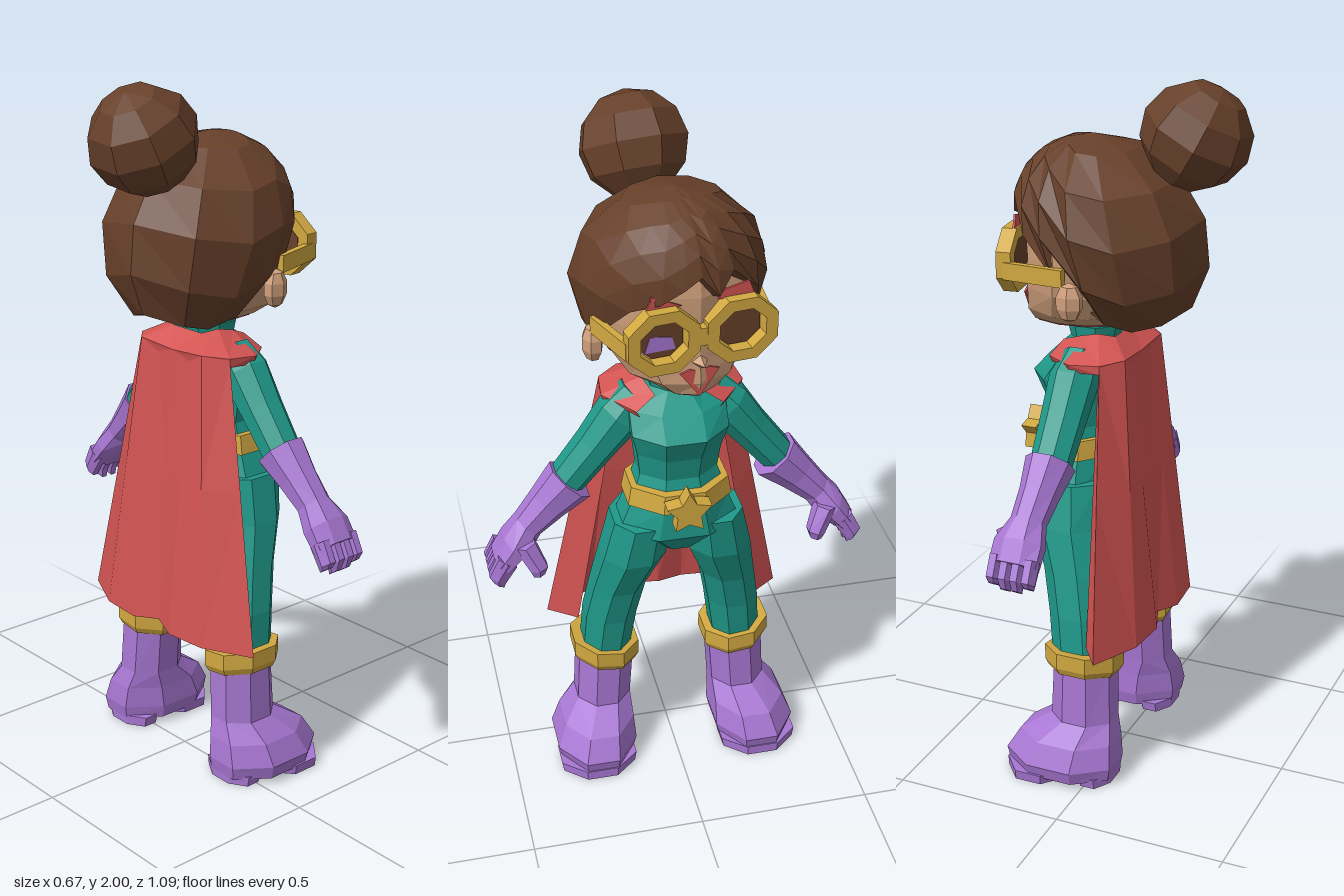
import * as THREE from 'three';

const mat = (name, color, side = THREE.FrontSide) => {
  const m = new THREE.MeshStandardMaterial({ color, side });
  m.name = name;
  return m;
};
const HAIR = mat('hair brown', 0x67402a);
const SKIN = mat('skin', 0xcf9f7b);
const RED = mat('cape red', 0xd25452, THREE.DoubleSide);
const TEAL = mat('suit teal', 0x1f998a);
const GOLD = mat('gold', 0xd2a941);
const PURPLE = mat('glove purple', 0xa877d3);

// Faceted mesh: every face keeps its own normal
function facet(name, geo, material) {
  const g = geo.index ? geo.toNonIndexed() : geo;
  g.computeVertexNormals();
  const m = new THREE.Mesh(g, material);
  m.name = name;
  return m;
}

function fromTriangles(name, tris, material) {
  const g = new THREE.BufferGeometry();
  g.setAttribute('position', new THREE.Float32BufferAttribute(tris.flat(), 3));
  return facet(name, g, material);
}

// Closed loft through sections [x, y, zBack, zFront, halfWidth], listed upward.
// tilt leans the sections in the xy plane.
function loft(name, sections, material, n = 8, tilt = 0) {
  const k = 1 / Math.cos(Math.PI / n);
  const rings = sections.map(([x, y, z0, z1, w]) =>
    Array.from({ length: n }, (_, j) => {
      const t = ((j + 0.5) / n) * Math.PI * 2;
      const u = Math.cos(t) * w * k;
      return [x + u * Math.cos(tilt), y + u * Math.sin(tilt), (z0 + z1) / 2 + (Math.sin(t) * k * (z1 - z0)) / 2];
    }));
  const mid = ([x, y, z0, z1]) => [x, y, (z0 + z1) / 2];
  const bottom = mid(sections[0]), top = mid(sections[sections.length - 1]);
  const tris = [];
  for (let j = 0; j < n; j++) {
    const q = (j + 1) % n;
    for (let i = 0; i + 1 < rings.length; i++) {
      const a = rings[i][j], b = rings[i][q], c = rings[i + 1][j], d = rings[i + 1][q];
      tris.push(...a, ...c, ...b, ...b, ...c, ...d);
    }
    const last = rings[rings.length - 1];
    tris.push(...bottom, ...rings[0][j], ...rings[0][q], ...top, ...last[q], ...last[j]);
  }
  return fromTriangles(name, tris, material);
}

// Open sheet through rows of points
function sheet(name, rows, material) {
  const tris = [];
  for (let i = 0; i + 1 < rows.length; i++)
    for (let j = 0; j + 1 < rows[i].length; j++) {
      const a = rows[i][j], b = rows[i][j + 1], c = rows[i + 1][j], d = rows[i + 1][j + 1];
      tris.push(...a, ...c, ...b, ...b, ...c, ...d);
    }
  return fromTriangles(name, tris, material);
}

const ring = (n, rx, ry, turn = 0) => Array.from({ length: n }, (_, i) => {
  const t = ((i + turn) / n) * Math.PI * 2;
  return new THREE.Vector2(Math.cos(t) * rx, Math.sin(t) * ry);
});

function plate(name, points, depth, material, pos, hole) {
  const s = new THREE.Shape(points);
  if (hole) s.holes.push(new THREE.Path(hole));
  const m = facet(name, new THREE.ExtrudeGeometry(s, { depth, bevelEnabled: false }), material);
  m.position.set(...pos);
  return m;
}
const poly = (...p) => p.map(([x, y]) => new THREE.Vector2(x, y));

function box(name, size, pos, material) {
  const m = facet(name, new THREE.BoxGeometry(...size), material);
  m.position.set(...pos);
  return m;
}

// Hair shell: a sheared ellipsoid whose lower hem varies round the head
function hairShell() {
  const hem = [[-2, 1.69], [9, 1.63], [20, 1.69], [42, 1.6], [60, 1.5], [80, 1.36], [105, 1.33], [140, 1.35],
    [180, 1.38], [220, 1.35], [255, 1.33], [280, 1.36], [300, 1.5], [318, 1.59], [335, 1.62], [348, 1.66]];
  const steps = 5, tris = [];
  const cols = hem.map(([deg, y0]) => {
    const a = THREE.MathUtils.degToRad(deg), dy = y0 - 1.6;
    const start = Math.asin(dy / (dy < 0 ? 0.3 : 0.25));
    return Array.from({ length: steps + 1 }, (_, i) => {
      const e = start + ((Math.PI / 2 - start) * i) / steps;
      const y = 1.6 + Math.sin(e) * (e < 0 ? 0.3 : 0.25), r = Math.cos(e);
      return [Math.sin(a) * r * 0.265, y, 0.045 + 0.2 * (y - 1.6) + Math.cos(a) * r * 0.27];
    });
  });
  cols.forEach((c, j) => {
    const d = cols[(j + 1) % cols.length];
    for (let i = 0; i < steps; i++) tris.push(...c[i], ...d[i], ...c[i + 1], ...d[i], ...d[i + 1], ...c[i + 1]);
    tris.push(0, 1.5, 0, ...d[0], ...c[0]);
  });
  return fromTriangles('hair', tris, HAIR);
}

function makeHead() {
  const head = new THREE.Group();
  head.name = 'head';
  head.add(hairShell());
  const bun = facet('hairBun', new THREE.SphereGeometry(0.155, 8, 6), HAIR);
  bun.position.set(-0.01, 1.855, -0.185);
  bun.rotation.set(-0.5, 0.2, 0);
  bun.scale.y = 0.95;
  head.add(bun);
  head.add(loft('face', [[0, 1.33, 0, 0.275, 0.09], [0, 1.37, -0.04, 0.285, 0.155], [0, 1.44, -0.08, 0.28, 0.2],
    [0, 1.53, -0.1, 0.275, 0.22], [0, 1.62, -0.1, 0.28, 0.22], [0, 1.71, -0.06, 0.27, 0.17]], SKIN, 10));
  head.add(loft('jawUnderside', [[0, 1.322, 0.01, 0.265, 0.075], [0, 1.332, 0, 0.27, 0.088]], RED, 10));
  // Nose and mouth
  const nose = facet('nose', new THREE.ConeGeometry(0.025, 0.045, 4), SKIN);
  nose.rotation.x = Math.PI / 2;
  nose.position.set(0, 1.435, 0.3);
  head.add(nose);
  head.add(plate('mouth', poly([-0.055, 0.02], [0, -0.055], [0.055, 0.02], [0.025, 0.03], [0, 0.02], [-0.025, 0.03]),
    0.006, RED, [0, 1.385, 0.281]));
  // Eyes, brows, ears and goggles
  for (const s of [-1, 1]) {
    head.add(plate('eye', ring(8, 0.066, 0.058, 0.5), 0.005, HAIR, [s * 0.107, 1.52, 0.277]));
    head.add(plate('brow', poly([-0.05, -0.02], [0.05, -0.02], [s * 0.035, 0.02], [-0.035, 0.005]),
      0.006, RED, [s * 0.1, 1.625, 0.278]));
    const ear = facet('ear', new THREE.SphereGeometry(1, 6, 5), SKIN);
    ear.scale.set(0.03, 0.055, 0.04);
    ear.position.set(s * 0.232, 1.44, 0.1);
    head.add(ear);
    head.add(plate('goggleRim', ring(8, 0.106, 0.096, 0.5), 0.042, GOLD, [s * 0.108, 1.52, 0.272],
      ring(8, 0.07, 0.062, 0.5)));
    const arm = box('goggleArm', [0.02, 0.048, 0.18], [s * 0.216, 1.505, 0.205], GOLD);
    arm.rotation.y = -s * 0.2;
    head.add(arm);
  }
  head.add(plate('iris', poly([-0.045, -0.03], [0.04, -0.03], [0.03, 0.005], [-0.03, 0.015]), 0.005, PURPLE,
    [-0.107, 1.515, 0.279]));
  head.add(box('goggleBridge', [0.05, 0.05, 0.04], [0, 1.52, 0.292], GOLD));
  // The head looks slightly to its left
  head.position.z = 0.08;
  head.children.forEach((c) => { c.position.z -= 0.08; });
  head.rotation.y = 0.14;
  return head;
}

// One arm, one leg and half of the cape, on the +x side
function makeSide(name) {
  const side = new THREE.Group();
  side.name = name;
  side.add(loft('sleeve', [[0.3, 1.0, 0.04, 0.15, 0.05], [0.22, 1.1, 0.035, 0.155, 0.055],
    [0.15, 1.19, 0.03, 0.16, 0.065], [0.1, 1.25, 0.04, 0.14, 0.05]], TEAL, 8, 0.68));
  side.add(loft('glove', [[0.5, 0.77, 0.045, 0.185, 0.035], [0.46, 0.82, 0.045, 0.185, 0.045],
    [0.42, 0.87, 0.06, 0.155, 0.043], [0.36, 0.93, 0.05, 0.155, 0.055], [0.295, 0.995, 0.035, 0.165, 0.07]],
    PURPLE, 8, 0.76));
  for (let i = 0; i < 4; i++) {
    const z = 0.062 + i * 0.035, drop = [0.015, 0, 0, 0.012][i];
    side.add(loft('finger', [[0.518, 0.705 + drop, z - 0.014, z + 0.014, 0.017],
      [0.522, 0.735, z - 0.018, z + 0.018, 0.026], [0.49, 0.79, z - 0.018, z + 0.018, 0.03]], PURPLE, 6, 0.6));
  }
  side.add(loft('thumb', [[0.405, 0.745, 0.165, 0.2, 0.016], [0.405, 0.77, 0.16, 0.208, 0.025],
    [0.44, 0.84, 0.12, 0.19, 0.03]], PURPLE, 6, -0.2));
  // Leg and boot
  side.add(loft('leg', [[0.2, 0.36, -0.03, 0.135, 0.07], [0.185, 0.5, -0.02, 0.15, 0.075],
    [0.163, 0.62, 0, 0.175, 0.076], [0.125, 0.75, 0.02, 0.225, 0.09], [0.105, 0.88, 0.03, 0.24, 0.08]], TEAL));
  side.add(loft('bootCuff', [[0.2, 0.325, -0.05, 0.145, 0.088], [0.2, 0.345, -0.06, 0.155, 0.097],
    [0.2, 0.392, -0.06, 0.155, 0.097]], GOLD, 8, 0.13));
  side.add(loft('boot', [[0.246, 0.02, -0.065, 0.25, 0.11], [0.247, 0.06, -0.072, 0.258, 0.12],
    [0.235, 0.125, -0.065, 0.22, 0.105], [0.21, 0.18, -0.05, 0.135, 0.08], [0.2, 0.34, -0.045, 0.13, 0.082]], PURPLE));
  side.add(loft('heel', [[0.235, 0, -0.065, 0.04, 0.085], [0.235, 0.03, -0.065, 0.045, 0.09]], PURPLE));
  side.add(loft('sole', [[0.25, 0, 0.065, 0.255, 0.11], [0.25, 0.03, 0.06, 0.255, 0.115]], PURPLE));
  // Cape
  const top = [[0, 1.25, -0.045], [0.07, 1.26, -0.04], [0.13, 1.26, -0.05], [0.19, 1.25, 0], [0.15, 1.15, 0.025]];
  const low = [[0, 0.44, -0.1], [0.08, 0.43, -0.13], [0.21, 0.43, -0.12], [0.355, 0.43, -0.05], [0.27, 0.43, 0.01]];
  const middle = top.map((p, i) => p.map((v, k) => v * 0.55 + low[i][k] * 0.45));
  side.add(sheet('cape', [top, middle, low], RED));
  side.add(sheet('capeShoulder', [
    [[0, 1.3, 0.01], [0.06, 1.3, 0.01], [0.085, 1.31, 0.05], [0.09, 1.3, 0.1], [0.065, 1.275, 0.165]],
    [[0, 1.25, -0.045], [0.13, 1.26, -0.05], [0.19, 1.255, 0], [0.2, 1.25, 0.09], [0.12, 1.24, 0.185]],
    [[0, 1.23, -0.04], [0.13, 1.23, -0.045], [0.19, 1.23, 0], [0.19, 1.225, 0.09], [0.11, 1.22, 0.18]]], RED));
  return side;
}

export function createModel() {
  const figure = new THREE.Group();
  figure.name = 'figure';
  figure.add(loft('torso', [[0, 0.78, 0.07, 0.2, 0.06], [0, 0.85, 0.02, 0.25, 0.175], [0, 0.94, 0.03, 0.245, 0.14],
    [0, 1.03, 0.045, 0.22, 0.11], [0, 1.1, 0.04, 0.235, 0.118], [0, 1.17, 0.03, 0.265, 0.135],
    [0, 1.23, 0.025, 0.21, 0.135], [0, 1.28, 0.03, 0.16, 0.068], [0, 1.32, 0.02, 0.17, 0.074]], TEAL));
  figure.add(loft('neck', [[0, 1.3, 0.04, 0.15, 0.06], [0, 1.36, 0.04, 0.15, 0.06]], RED));
  figure.add(loft('belt', [[0, 0.945, 0.015, 0.262, 0.148], [0, 1.0, 0.022, 0.255, 0.138]], GOLD));
  const star = Array.from({ length: 10 }, (_, i) => {
    const t = Math.PI / 2 + (i * Math.PI) / 5, r = i % 2 ? 0.035 : 0.066;
    return new THREE.Vector2(Math.cos(t) * r, Math.sin(t) * r);
  });
  figure.add(plate('beltStar', star, 0.045, GOLD, [0, 0.97, 0.262]));
  figure.add(makeHead());
  const left = makeSide('leftSide'), right = makeSide('rightSide');
  right.scale.x = -1;
  figure.add(left, right);

  // The figure looks along +x
  figure.rotation.y = Math.PI / 2;
  const model = new THREE.Group();
  model.name = 'capedFigure';
  model.add(figure);
  return model;
}
